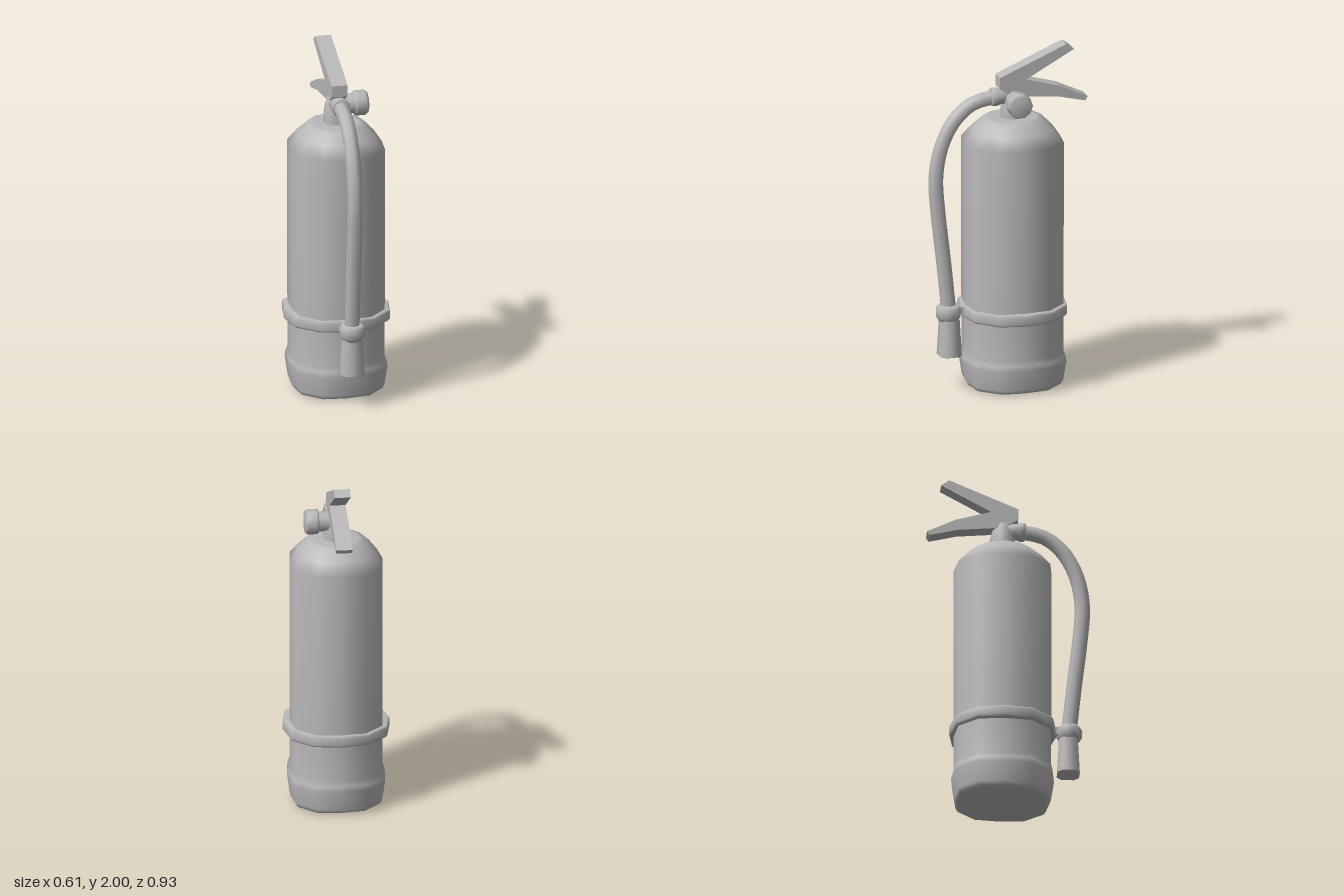
import * as THREE from 'three';

const CZ = -0.032; // centre line of the cylinder
const v2 = (pts) => pts.map(([a, b]) => new THREE.Vector2(a, b));

export function createModel() {
  const group = new THREE.Group();
  const grey = new THREE.MeshStandardMaterial({ color: 0xb8b8b8 });
  grey.name = 'plainGrey';

  const add = (name, geometry, x = 0, y = 0, z = 0) => {
    const mesh = new THREE.Mesh(geometry, grey);
    mesh.name = name;
    mesh.position.set(x, y, z);
    group.add(mesh);
    return mesh;
  };
  const lathe = (pts, sides) => new THREE.LatheGeometry(v2(pts), sides);

  // Swells a lathe on its diagonals towards a rounded square, fading out over the shoulder
  const squared = (geometry, k) => {
    const p = geometry.attributes.position;
    for (let i = 0; i < p.count; i++) {
      const x = p.getX(i), y = p.getY(i), z = p.getZ(i);
      const fade = 1 - THREE.MathUtils.smoothstep(y, 1.45, 1.6);
      const s = 1 + k * fade * Math.sin(2 * Math.atan2(z, x)) ** 2;
      p.setXYZ(i, x * s, y, z * s);
    }
    return geometry;
  };

  // Tank with a bulging foot and a bevelled shoulder
  const tank = add('tank', squared(lathe([
    [0, 0], [0.225, 0.002], [0.25, 0.012], [0.262, 0.035], [0.279, 0.15], [0.275, 0.178],
    [0.264, 0.21], [0.264, 0.42], [0.266, 1.45], [0.22, 1.52], [0.163, 1.58], [0.13, 1.587], [0, 1.588],
  ], 12), 0.11), 0, 0, CZ);
  tank.scale.z = 1.05;

  // Strap around the tank
  add('strap', squared(lathe([
    [0.25, 0.422], [0.296, 0.422], [0.305, 0.435], [0.305, 0.477], [0.296, 0.489], [0.25, 0.489],
  ], 12), 0.06), 0, 0, CZ);

  // Neck and valve
  add('neck', lathe([
    [0.073, 1.57], [0.072, 1.64], [0.062, 1.7], [0.047, 1.75], [0, 1.765],
  ], 10), 0, 0, CZ);

  // Side knob, lying along +x
  const knob = add('knob', lathe([
    [0.057, 0], [0.057, 0.1], [0.068, 0.102], [0.072, 0.115], [0.072, 0.165], [0.062, 0.18], [0, 0.182],
  ], 10), 0, 1.69, CZ);
  knob.rotation.z = -Math.PI / 2;

  // Squeeze lever and carrying handle, one side profile given as (z, y)
  const profile = new THREE.Shape(v2([
    [0.055, 1.765], [0.055, 1.832], [-0.14, 1.915], [-0.338, 2.0], [-0.384, 1.967], [-0.1, 1.81],
    [-0.3, 1.755], [-0.464, 1.678], [-0.45, 1.654], [-0.29, 1.692], [-0.1, 1.708], [-0.02, 1.72],
  ].map(([z, y]) => [-z, y])));
  const handles = new THREE.ExtrudeGeometry(profile, { depth: 0.092, bevelEnabled: false });
  handles.translate(0, 0, -0.046).rotateY(Math.PI / 2);
  add('handles', handles);

  // Hose coupling, facing forward
  const coupling = add('hoseCoupling', lathe([
    [0, 0], [0.048, 0], [0.048, 0.075], [0.055, 0.085], [0.055, 0.115], [0.046, 0.125], [0, 0.125],
  ], 10), 0, 1.71, -0.025);
  coupling.rotation.x = Math.PI / 2;

  // Hose
  const path = new THREE.CatmullRomCurve3([
    [0.05, 1.71], [0.12, 1.703], [0.21, 1.678], [0.3, 1.605], [0.365, 1.5], [0.405, 1.38],
    [0.422, 1.24], [0.41, 1.06], [0.375, 0.75], [0.345, 0.46],
  ].map(([z, y]) => new THREE.Vector3(0, y, z)));
  add('hose', new THREE.TubeGeometry(path, 28, 0.044, 8));

  // Nozzle collar and flared horn
  add('nozzleCollar', lathe([
    [0, 0.405], [0.055, 0.405], [0.073, 0.432], [0.075, 0.475], [0.06, 0.497], [0, 0.5],
  ], 10), 0, 0, 0.347);
  const horn = add('nozzleHorn', squared(lathe([
    [0, 0.2], [0.069, 0.2], [0.069, 0.202], [0.057, 0.415],
  ], 12), 0.18), 0, 0, 0.342);
  horn.scale.z = 0.93;

  // Clip joining the collar to the strap
  add('nozzleClip', new THREE.BoxGeometry(0.06, 0.045, 0.06), 0, 0.462, 0.265);

  return group;
}
